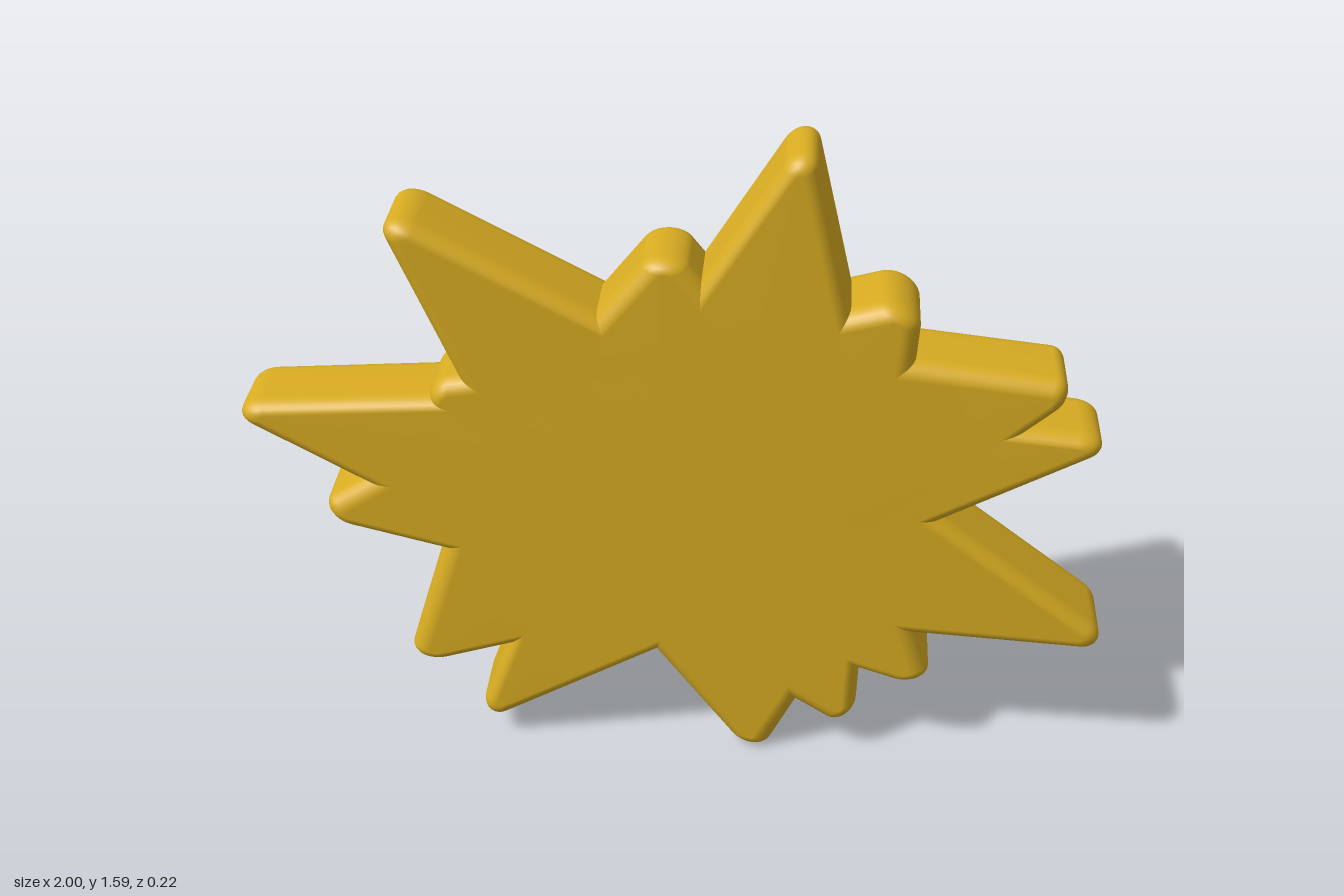
import * as THREE from 'three';

const gold = new THREE.MeshStandardMaterial({ color: 0xd8ac22 });
gold.name = 'gold';

const TIP = 0.942;     // centre of the tip rounding
const VALLEY = 0.46;   // inner corner of the star
const FILLET = 0.11;   // rounding of the inner corners
const T0 = 0.012, T1 = 0.058; // outline offset on the caps and on the walls
const BEVEL_Z = 0.045;
const STEP = Math.PI / 5;

// Outline of a regular five-pointed star with rounded corners, grown by t
function starOutline(t) {
  const pts = [];
  const phi = Math.atan2(TIP - VALLEY * Math.cos(STEP), VALLEY * Math.sin(STEP));
  const vc = VALLEY + FILLET / Math.cos(phi - STEP);
  const arc = (dist, angle, radius, from, to, n) => {
    for (let i = 0; i <= n; i++) {
      const a = from + (to - from) * i / n;
      pts.push([
        dist * Math.cos(angle) + radius * Math.cos(a),
        dist * Math.sin(angle) + radius * Math.sin(a),
      ]);
    }
  };
  for (let k = 0; k < 5; k++) {
    const th = Math.PI / 2 + 2 * STEP * k;
    arc(TIP, th, t, th - phi, th + phi, 10);
    arc(vc, th + STEP, t - FILLET, th + phi, th + 2 * STEP - phi, 6);
  }
  return pts;
}

// Thick star with round edges, stretched and skewed so its points meet the five tips
function makeStar(name, tips, front, back) {
  const c = [0, 0], u = [0, 0], v = [0, 0];
  tips.forEach((p, k) => {
    const th = Math.PI / 2 + 2 * STEP * k;
    for (let j = 0; j < 2; j++) {
      c[j] += p[j] / 5;
      u[j] += 0.4 * p[j] * Math.cos(th);
      v[j] += 0.4 * p[j] * Math.sin(th);
    }
  });

  // Cross-sections: front edge rounding, then back edge rounding
  const rings = [];
  const N = 6;
  for (let i = 0; i <= N; i++) {
    const a = (i / N) * Math.PI / 2;
    rings.push([T0 + (T1 - T0) * Math.sin(a), front - BEVEL_Z * (1 - Math.cos(a))]);
  }
  for (let i = N; i >= 0; i--) {
    const a = (i / N) * Math.PI / 2;
    rings.push([T0 + (T1 - T0) * Math.sin(a), back + BEVEL_Z * (1 - Math.cos(a))]);
  }

  const pos = [], index = [];
  let n = 0;
  for (const [t, z] of rings) {
    const outline = starOutline(t);
    n = outline.length;
    for (const [x, y] of outline) {
      pos.push(c[0] + u[0] * x + v[0] * y, c[1] + u[1] * x + v[1] * y, z);
    }
  }
  const fc = rings.length * n, bc = fc + 1, last = (rings.length - 1) * n;
  pos.push(c[0], c[1], front, c[0], c[1], back);

  for (let i = 0; i < n; i++) {
    const j = (i + 1) % n;
    for (let r = 0; r < rings.length - 1; r++) {
      const a = r * n, b = a + n;
      index.push(a + i, b + i, b + j, a + i, b + j, a + j);
    }
    index.push(fc, i, j, bc, last + j, last + i);
  }

  const geo = new THREE.BufferGeometry();
  geo.setAttribute('position', new THREE.Float32BufferAttribute(pos, 3));
  geo.setIndex(index);
  geo.computeVertexNormals();
  const mesh = new THREE.Mesh(geo, gold);
  mesh.name = name;
  return mesh;
}

export function createModel() {
  const group = new THREE.Group();
  group.name = 'starburst';
  // Tips run counter-clockwise from the top one
  group.add(
    makeStar('wideStar', [[0.5, 1.25], [-0.62, 1.4], [-0.825, 0.66], [0.19, 0.005], [0.995, 0.37]], 0.108, -0.11),
    makeStar('tallStar', [[0.265, 1.59], [-0.56, 1.0], [-0.47, 0.07], [0.41, 0.105], [0.86, 1.06]], 0.108, -0.1),
    makeStar('flatStar', [[-0.03, 1.35], [-0.998, 0.92], [-0.63, 0.24], [0.585, 0.235], [0.945, 0.92]], 0.108, -0.098),
  );
  return group;
}
